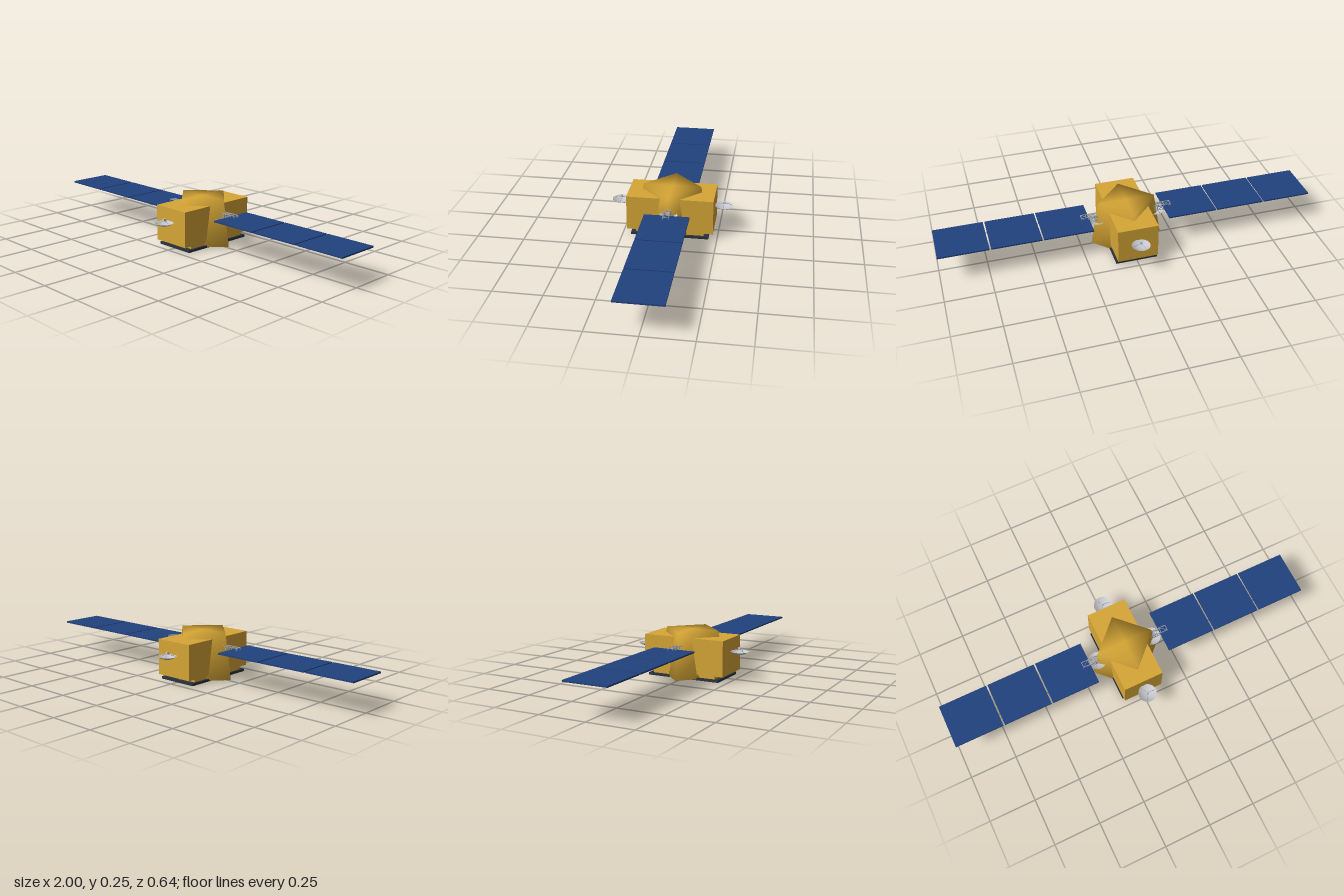
import * as THREE from 'three';
import { mergeVertices } from 'three/addons/utils/BufferGeometryUtils.js';

export function createModel() {
  const mat = (name, color, side = THREE.FrontSide) => {
    const m = new THREE.MeshStandardMaterial({ color, side });
    m.name = name;
    return m;
  };
  const gold = mat('gold foil', 0xd6a636);
  const blue = mat('solar blue', 0x22427f);
  const dark = mat('dark base', 0x2b323d);
  const dishGrey = mat('dish grey', 0xc6c7cc, THREE.DoubleSide);
  const metal = mat('strut metal', 0xa2a5ab);

  const model = new THREE.Group();
  const add = (parent, name, geometry, material, x = 0, y = 0, z = 0) => {
    const mesh = new THREE.Mesh(geometry, material);
    mesh.name = name;
    mesh.position.set(x, y, z);
    parent.add(mesh);
    return mesh;
  };
  // Thin round bar between two points
  const bar = (parent, name, a, b, r) => {
    const p = new THREE.Vector3(...a), q = new THREE.Vector3(...b);
    const d = q.clone().sub(p);
    const mesh = add(parent, name, new THREE.CylinderGeometry(r, r, d.length(), 6), metal);
    mesh.position.copy(p).add(q).multiplyScalar(0.5);
    mesh.quaternion.setFromUnitVectors(new THREE.Vector3(0, 1, 0), d.normalize());
  };

  // Four-sided tapered core with soft shading across its edges
  let core = new THREE.CylinderGeometry(0.153, 0.191, 0.243, 4, 1);
  core.deleteAttribute('normal');
  core.deleteAttribute('uv');
  core = mergeVertices(core);
  core.computeVertexNormals();
  add(model, 'core', core, gold, 0, 0.1265, 0);

  // Main box and base plate
  add(model, 'body', new THREE.BoxGeometry(0.214, 0.188, 0.456), gold, 0, 0.124, 0);
  add(model, 'basePlate', new THREE.BoxGeometry(0.222, 0.013, 0.41), dark, 0, 0.0065, 0);
  add(model, 'baseNeck', new THREE.BoxGeometry(0.2, 0.02, 0.36), gold, 0, 0.022, 0);

  // Wings: three panels and a lattice boom on each side
  for (const s of [-1, 1]) {
    const wing = new THREE.Group();
    wing.name = s > 0 ? 'leftWing' : 'rightWing';
    model.add(wing);
    for (let i = 0; i < 3; i++) {
      add(wing, 'solarPanel', new THREE.BoxGeometry(0.26, 0.008, 0.234), blue,
        s * (0.333 + i * 0.2685), 0.169, 0);
    }
    const x0 = 0.135, bays = 3, step = 0.036, yc = 0.169, h = 0.0145;
    const corners = [[-h, -h], [h, -h], [h, h], [-h, h]];
    const at = (i, k) => [s * (x0 + i * step), yc + corners[k % 4][0], corners[k % 4][1]];
    for (let k = 0; k < 4; k++) {
      bar(wing, 'boomRail', at(0, k), at(bays, k), 0.002);
      for (let i = 0; i <= bays; i++) {
        bar(wing, 'boomFrame', at(i, k), at(i, k + 1), 0.002);
        if (i < bays) bar(wing, 'boomBrace', at(i, k + (i % 2)), at(i + 1, k + 1 - (i % 2)), 0.0014);
      }
    }
  }

  // Dish antenna: shallow bowl, feed and tripod
  const bowl = [];
  for (let i = 0; i <= 8; i++) {
    const t = i / 8;
    bowl.push(new THREE.Vector2(0.048 * t, 0.0175 * t * t));
  }
  const bowlGeometry = new THREE.LatheGeometry(bowl, 28);
  const feedGeometry = new THREE.BoxGeometry(0.012, 0.012, 0.012);
  const places = [[0, 0.274], [0, -0.274], [0.159, 0], [-0.159, 0]];
  for (const [x, z] of places) {
    const dish = new THREE.Group();
    dish.name = 'dish';
    dish.position.set(x, 0.1335, z);
    model.add(dish);
    add(dish, 'bowl', bowlGeometry, dishGrey);
    add(dish, 'feed', feedGeometry, dishGrey, 0, 0.0335, 0);
    for (let i = 0; i < 3; i++) {
      const a = (i * Math.PI * 2) / 3;
      bar(dish, 'feedLeg', [0.043 * Math.cos(a), 0.0145, 0.043 * Math.sin(a)], [0, 0.029, 0], 0.0011);
    }
  }
  return model;
}
